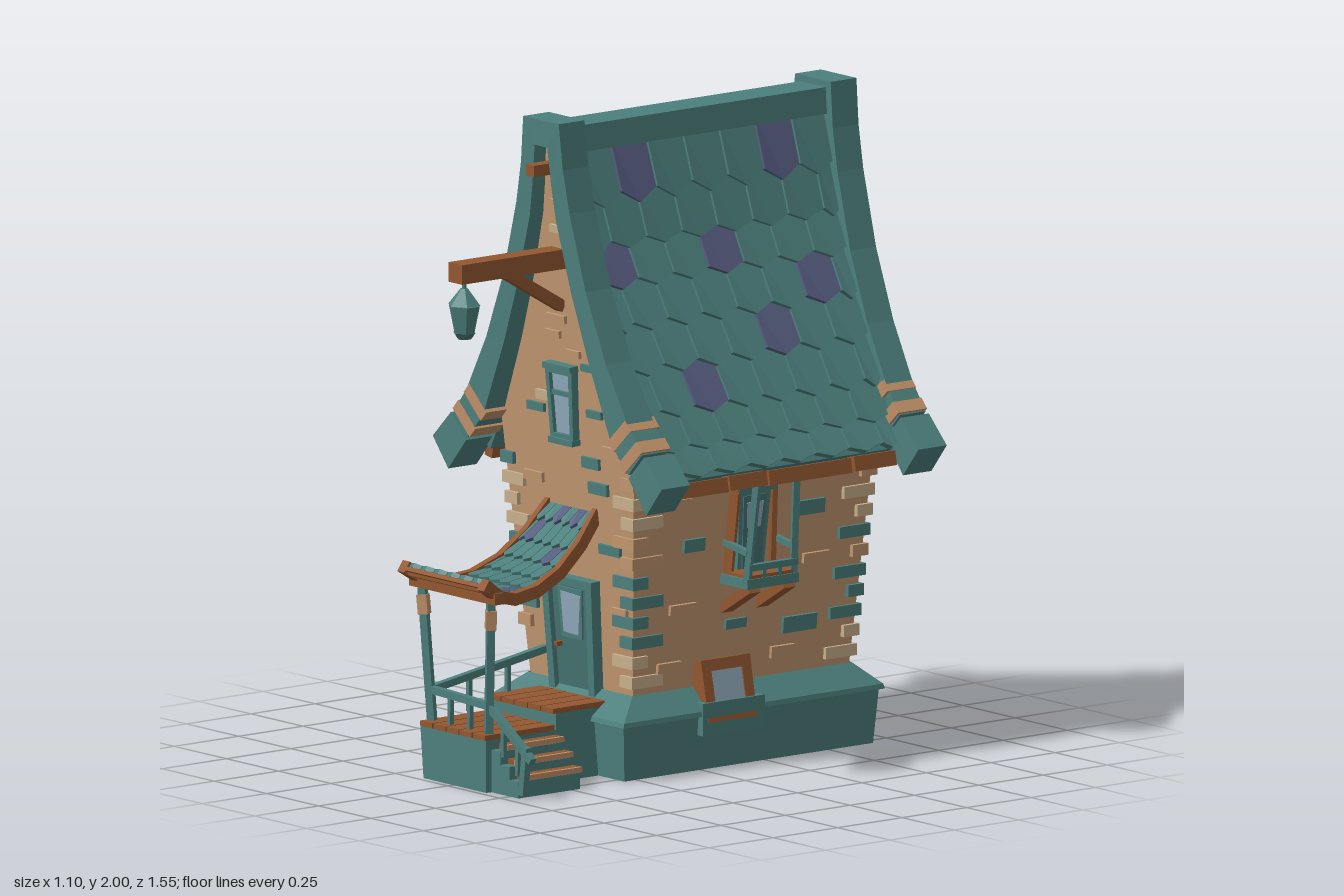
import * as THREE from 'three';

const paint = (name, color) => Object.assign(new THREE.MeshStandardMaterial({ color }), { name });
const V = (x, y, z) => new THREE.Vector3(x, y, z);
const CZ = -0.19; // middle of the house along z

export function createModel() {
  const root = new THREE.Group();
  const teal = paint('teal', 0x4c7f7c), doorTeal = paint('doorTeal', 0x44736f);
  const purple = paint('purple', 0x575d80), tan = paint('tan', 0xc1966f);
  const cream = paint('cream', 0xc8b08c), brown = paint('brown', 0x935730);
  const wood = paint('lightWood', 0xbe8f68), glass = paint('glass', 0x90aabb);
  teal.side = THREE.DoubleSide;

  let seed = 7;
  const rnd = () => (seed = (seed * 16807) % 2147483647) / 2147483647;
  const group = (name, parent = root) => {
    const g = new THREE.Group(); g.name = name; parent.add(g); return g;
  };
  const mesh = (name, geo, mat, parent = root) => {
    const m = new THREE.Mesh(geo, mat); m.name = name; parent.add(m); return m;
  };
  const box = (name, mat, w, h, d, x, y, z, parent = root) => {
    const m = mesh(name, new THREE.BoxGeometry(w, h, d), mat, parent);
    m.position.set(x, y, z); return m;
  };
  // square bar between two points
  const bar = (name, mat, a, b, w, h, parent = root) => {
    const m = mesh(name, new THREE.BoxGeometry(w, h, a.distanceTo(b)), mat, parent);
    m.position.copy(a).lerp(b, 0.5); m.lookAt(b); return m;
  };
  // flat-shaded solid through matching convex rings
  const loft = (rings, caps = true) => {
    const tris = [], n = rings[0].length;
    for (let i = 0; i + 1 < rings.length; i++) for (let j = 0; j < n; j++) {
      const k = (j + 1) % n, [a, b] = [rings[i], rings[i + 1]];
      tris.push([a[j], a[k], b[k]], [a[j], b[k], b[j]]);
    }
    const last = rings[rings.length - 1];
    if (caps) for (let j = 1; j + 1 < n; j++)
      tris.push([rings[0][0], rings[0][j + 1], rings[0][j]], [last[0], last[j], last[j + 1]]);
    const o = rings[0][0];
    const vol = tris.reduce((s, [a, b, c]) => s + a.clone().sub(o).dot(b.clone().sub(o).cross(c.clone().sub(o))), 0);
    const pts = tris.flatMap(([a, b, c]) => (vol < 0 ? [a, c, b] : [a, b, c]));
    const g = new THREE.BufferGeometry().setFromPoints(pts);
    g.computeVertexNormals(); return g;
  };
  const rect = (hx, y, zf, zb) => [V(-hx, y, zf), V(hx, y, zf), V(hx, y, zb), V(-hx, y, zb)];

  // foundation, hollow underneath
  mesh('foundation', loft([rect(0.25, 0.16, 0.25, -0.63), rect(0.25, 0, 0.25, -0.63), rect(0.285, 0, 0.295, -0.67),
    rect(0.3, 0.165, 0.31, -0.68), rect(0.318, 0.17, 0.325, -0.69), rect(0.315, 0.185, 0.32, -0.685),
    rect(0.25, 0.25, 0.235, -0.615)], false), teal);

  // walls flare outward, then close in under the gable
  const gable = [[1.045, 0.318], [1.29, 0.21], [1.485, 0.135], [1.71, 0.068], [1.94, 0.036]];
  const halfX = y => {
    if (y < 1.045) return 0.245 + (y - 0.25) * 0.092;
    const i = Math.max(1, gable.findIndex(g => g[0] >= y)), [a, b] = [gable[i - 1], gable[i]];
    return THREE.MathUtils.mapLinear(y, a[0], b[0], a[1], b[1]);
  };
  const halfZ = y => 0.42 + (y - 0.25) * 0.068;
  mesh('walls', loft([0.14, ...gable.map(g => g[0])].map(y => rect(halfX(y), y, CZ + halfZ(y), CZ - halfZ(y)))), tan);

  // frame lying on a wall: local x along the wall, local z outward
  const turn = { front: 0, back: Math.PI, right: Math.PI / 2, left: -Math.PI / 2 };
  const onWall = (name, face, u, y) => {
    const g = group(name), side = face === 'right' || face === 'left', s = face === 'right' || face === 'front' ? 1 : -1;
    if (side) g.position.set(s * halfX(y), y, u); else g.position.set(u, y, CZ + s * halfZ(y));
    g.rotation.set(side ? 0.092 : 0.068, turn[face], 0, 'YXZ'); return g;
  };
  const trapezoid = (shape, wb, wt, y0, y1) => {
    shape.moveTo(-wb, y0); shape.lineTo(wb, y0); shape.lineTo(wt, y1); shape.lineTo(-wt, y1); shape.closePath(); return shape;
  };
  const opening = (name, face, u, y, w, h) => {
    const g = onWall(name, face, u, y), a = w / 2, b = h / 2;
    const s = trapezoid(new THREE.Shape(), a * 0.84, a, -b, b);
    s.holes.push(trapezoid(new THREE.Path(), a * 0.6, a * 0.72, -b + 0.022, b - 0.022));
    mesh('frame', new THREE.ExtrudeGeometry(s, { depth: 0.04, bevelEnabled: false }), teal, g).position.z = -0.015;
    mesh('pane', new THREE.ShapeGeometry(trapezoid(new THREE.Shape(), a * 0.7, a * 0.78, -b + 0.02, b - 0.02)), glass, g).position.z = 0.012;
    box('crossbar', teal, w * 0.68, 0.015, 0.02, 0, h * 0.14, 0.01, g);
    box('lintel', teal, w * 1.04, 0.018, 0.05, 0, b, 0.008, g);
    box('sill', teal, w * 0.9, 0.018, 0.05, 0, -b, 0.008, g);
  };
  opening('upperFrontWindow', 'front', 0, 1.12, 0.128, 0.23);
  opening('upperBackWindow', 'back', 0, 1.12, 0.128, 0.23);
  opening('lowerBackWindow', 'back', 0, 0.63, 0.14, 0.23);
  for (const z of [-0.36, 0.07]) opening('sideWindow', 'left', z, 0.59, 0.14, 0.23);

  // cellar window with its ledge
  box('cellarLedge', teal, 0.1, 0.1, 0.24, 0.272, 0.16, -0.1);
  const cellar = group('cellarWindow');
  cellar.position.set(0.272, 0.235, -0.095); cellar.rotation.set(-0.2, Math.PI / 2, 0, 'YXZ');
  for (const s of [-1, 1]) {
    box('stile', brown, 0.035, 0.19, 0.07, s * 0.077, 0, 0, cellar);
    box('rail', brown, 0.19, 0.035, 0.07, 0, s * 0.077, 0, cellar);
  }
  box('pane', glass, 0.13, 0.13, 0.04, 0, 0, 0.01, cellar);

  // front door
  const door = onWall('frontDoor', 'front', -0.005, 0.4);
  const panel = (name, mat, wb, wt, y0, y1, depth, z, parent) => {
    const m = mesh(name, new THREE.ExtrudeGeometry(trapezoid(new THREE.Shape(), wb, wt, y0, y1), { depth, bevelEnabled: false }), mat, parent);
    m.position.z = z; return m;
  };
  const frame = trapezoid(new THREE.Shape(), 0.108, 0.12, -0.18, 0.185);
  frame.holes.push(trapezoid(new THREE.Path(), 0.08, 0.09, -0.179, 0.16));
  mesh('doorFrame', new THREE.ExtrudeGeometry(frame, { depth: 0.035, bevelEnabled: false }), teal, door);
  panel('leaf', doorTeal, 0.085, 0.095, -0.18, 0.165, 0.018, 0, door);
  panel('paneFrame', teal, 0.048, 0.06, -0.005, 0.15, 0.006, 0.018, door);
  panel('pane', glass, 0.035, 0.047, 0.01, 0.135, 0.005, 0.022, door).rotation.z = -0.05;
  box('knob', brown, 0.014, 0.014, 0.02, -0.062, -0.03, 0.028, door);

  // bricks: [along, y, width, height, material] on the front and right walls
  const bricks = group('bricks');
  const brick = (face, u, y, w, h, mat) => {
    const g = onWall('brick', face, u, y); bricks.add(g);
    box('brick', mat, w, h, 0.022, 0, 0, 0, g);
  };
  const placed = {
    front: [[0.12, 1.245, 0.06, 0.022, teal], [0.14, 1.105, 0.07, 0.024, teal], [-0.14, 1.09, 0.08, 0.026, teal],
      [0.11, 0.95, 0.08, 0.034, teal], [0.14, 0.875, 0.09, 0.036, teal], [0.18, 0.69, 0.1, 0.03, teal],
      [-0.02, 1.38, 0.09, 0.024, tan], [-0.04, 1.33, 0.07, 0.022, tan], [0.05, 1.28, 0.07, 0.022, tan],
      [-0.1, 1.13, 0.07, 0.03, cream], [0, 1.66, 0.05, 0.024, cream], [0, 1.74, 0.04, 0.022, tan],
      [-0.17, 0.87, 0.09, 0.03, tan], [0.21, 1.0, 0.08, 0.026, tan], [-0.2, 0.62, 0.07, 0.03, tan], [0.21, 0.5, 0.07, 0.03, tan]],
    right: [[-0.42, 0.76, 0.1, 0.045, teal], [0.03, 0.695, 0.08, 0.04, teal], [-0.15, 0.43, 0.08, 0.03, teal],
      [-0.4, 0.4, 0.13, 0.05, teal], [-0.34, 0.32, 0.09, 0.036, tan], [0.1, 0.32, 0.09, 0.036, tan],
      [0.06, 0.5, 0.1, 0.03, tan], [-0.45, 0.6, 0.1, 0.03, tan], [0.1, 0.83, 0.1, 0.03, tan]] };
  for (const face in placed) for (const b of placed[face]) brick(face, ...b);
  // scattered bricks on the other walls, kept off the windows
  const keepOut = { back: [[0, 1.12], [0, 0.63]], left: [[-0.36, 0.59], [0.07, 0.59]] };
  for (const face in keepOut) for (let row = 0; row < (face === 'left' ? 9 : 20); row++) for (let i = 0; i < 2; i++) {
    const y = 0.31 + row * 0.069, w = 0.06 + rnd() * 0.05, h = 0.022 + rnd() * 0.024, pick = rnd();
    const span = (face === 'left' ? halfZ(y) - 0.1 : halfX(y) - 0.02) - w / 2;
    const u = (face === 'left' ? CZ : 0) + (rnd() * 2 - 1) * span;
    if (span > 0 && !keepOut[face].some(k => Math.abs(u - k[0]) < 0.12 && Math.abs(y - k[1]) < 0.15))
      brick(face, u, y, w, h, pick < 0.45 ? teal : pick < 0.85 ? tan : cream);
  }
  // corner stones, paler near the top and foot of the wall
  for (const sx of [-1, 1]) for (const sz of [-1, 1]) for (let i = 0; i < 11; i++) {
    const y = 0.29 + i * 0.062, long = i % 2, pale = i < 2 || (i > 6 && i < 10);
    if (rnd() < 0.2) continue;
    box('cornerStone', rnd() < 0.25 ? tan : pale ? cream : teal, long ? 0.1 : 0.06, 0.036, long ? 0.06 : 0.12,
      sx * (halfX(y) - (long ? 0.035 : 0.017)), y, CZ + sz * (halfZ(y) - (long ? 0.017 : 0.046)), bricks);
  }

  // point on a 2D profile, raised h along its normal
  const raise = (curve, t, h) => {
    const n = curve.points.length - 1, p = curve.getPoint(t / n), d = curve.getTangent(t / n);
    return [p.x - d.y * h, p.y + d.x * h];
  };
  const spline = pts => new THREE.SplineCurve(pts.map(p => new THREE.Vector2(...p)));
  // pointed shingles in staggered rows; surf(u, t, h) maps to space
  const shingles = (parent, surf, rows, cols, lift, purples) => {
    for (let r = 0; r < rows; r++) for (let k = 0; k < cols + (r % 2); k++) {
      const u0 = (k - (r % 2) / 2) / cols, gap = 0.025 / cols;
      const a = Math.max(0, u0 + gap), b = Math.min(1, u0 + 1 / cols - gap), m = (a + b) / 2;
      const out = [[a, r - 0.3], [b, r - 0.3], [b, r + 0.82], [m, r + 1.04], [a, r + 0.82]];
      const skin = e => out.map(([u, t], i) => surf(u, Math.max(t, 0), (i > 1 ? lift : lift * 0.1) + e));
      mesh('shingle', loft([skin(-lift), skin(0)]), purples.includes(r * 10 + k) ? purple : teal, parent);
    }
  };

  // main roof
  const slope = spline([[0.045, 1.92], [0.086, 1.73], [0.12, 1.6], [0.165, 1.485], [0.22, 1.36], [0.28, 1.235],
    [0.342, 1.11], [0.391, 1.01], [0.434, 0.935], [0.478, 0.86]]);
  const marks = { 1: [1, 5, 20, 23, 36, 44, 52], '-1': [66, 45, 54, 14, 33, 22, 61, 40, 20, 10] };
  for (const s of [1, -1]) {
    const g = group(s > 0 ? 'leftRoof' : 'rightRoof');
    const surf = (u, t, h) => {
      const [x, y] = raise(slope, t, h); return V(s * x, y, CZ + (0.49 - t * 0.005) * (1 - 2 * u));
    };
    shingles(g, surf, 8, 7, 0.022, marks[s]);
    const deck = [];
    for (let t = 0; t <= 8; t++) deck.push([surf(0, t, -0.008), surf(1, t, -0.008), surf(1, t, -0.04), surf(0, t, -0.04)]);
    mesh('roofDeck', loft(deck), teal, g);
    for (const [z, l, x] of [[0.14, 0.2, 0.45], [-0.05, 0.15, 0.44], [-0.28, 0.32, 0.45], [-0.54, 0.16, 0.44]])
      box('eaveBoard', brown, 0.035, 0.045, l, s > 0 ? x : 0.02 - x, 0.905, z, g).rotation.z = s * 0.2;
  }
  mesh('ridgeCap', loft([0.5, -0.5].map(z => [[-0.07, 1.9], [0.07, 1.9], [0.06, 1.98], [-0.06, 1.98]]
    .map(([x, y]) => V(x, y, CZ + z)))), teal);

  // curved verge boards with wrapped, flared ends
  const verge = [[0.085, 2, 0.03, 1.92], [0.1, 1.86, 0.045, 1.8], [0.127, 1.73, 0.062, 1.7], [0.196, 1.5, 0.127, 1.485],
    [0.286, 1.29, 0.2, 1.29], [0.385, 1.115, 0.307, 1.045], [0.45, 1.035, 0.385, 0.965]];
  const path = [...verge.map(([a, b, c, d]) => [-a, b, -c, d]).reverse(), ...verge];
  for (const s of [1, -1]) {
    const g = group(s > 0 ? 'frontVerge' : 'backVerge');
    const zo = y => CZ + s * (0.547 + (y - 0.9) * 0.028), zi = y => zo(y) - s * 0.1;
    const ring = ([a, b, c, d]) => [V(a, b, zo(b)), V(c, d, zo(b)), V(c, d, zi(b)), V(a, b, zi(b))];
    mesh('vergeBoard', loft(path.map(ring)), teal, g);
    for (const m of [1, -1]) {
      const z = CZ + s * 0.498;
      for (const [x, y] of [[0.345, 1.078], [0.398, 1.02]])
        box('wrapping', wood, 0.04, 0.112, 0.112, m * x, y, z, g).rotation.z = -m * 0.82;
      const end = [[0.462, 1.03], [0.548, 0.945], [0.474, 0.855], [0.388, 0.955]];
      mesh('vergeEnd', loft([0.055, -0.055].map(e => end.map(([x, y]) => V(m * x, y, z + e)))), teal, g);
    }
  }

  // lamp beam and lantern
  box('lampBeam', brown, 0.066, 0.06, 0.44, 0, 1.57, 0.5);
  bar('lampBrace', brown, V(0, 1.55, 0.53), V(0, 1.42, 0.31), 0.035, 0.035);
  box('gableBlock', brown, 0.04, 0.035, 0.13, 0, 1.85, 0.365);
  const lantern = group('lantern'); lantern.position.set(0, 0, 0.685);
  const drum = (name, mat, rt, rb, h, y) => {
    const geo = new THREE.CylinderGeometry(rt, rb, h, 6).toNonIndexed(); geo.computeVertexNormals();
    mesh(name, geo, mat, lantern).position.y = y;
  };
  drum('hanger', teal, 0.007, 0.007, 0.05, 1.53);
  drum('cap', teal, 0.012, 0.052, 0.05, 1.495);
  drum('body', teal, 0.05, 0.032, 0.085, 1.425);
  drum('foot', doorTeal, 0.036, 0.022, 0.02, 1.375);

  // porch base, planks and side steps
  const porch = group('porch');
  box('upperLanding', teal, 0.31, 0.21, 0.22, 0.005, 0.105, 0.35, porch);
  mesh('lowerLanding', loft([[0, 0.14], [0.16, 0.155]].map(([y, x]) =>
    [V(-x, y, 0.46), V(-x, y, 0.73), V(0.16, y, 0.73), V(0.16, y, 0.46)])), teal, porch);
  for (let i = 0; i < 5; i++) {
    box('plank', brown, 0.058, 0.016, 0.23, -0.121 + i * 0.063, 0.218, 0.355, porch);
    box('plank', brown, 0.058, 0.016, 0.27, -0.121 + i * 0.063, 0.168, 0.6, porch);
  }
  for (let i = 0; i < 3; i++) {
    const x = 0.18 + i * 0.043, y = 0.13 - i * 0.04;
    box('stepBase', teal, 0.046, y, 0.24, x, y / 2, 0.59, porch);
    box('tread', brown, 0.03, 0.016, 0.22, x - 0.007, y + 0.008, 0.57, porch);
    box('treadEdge', wood, 0.012, 0.016, 0.22, x + 0.015, y + 0.008, 0.57, porch);
  }
  // posts and railings
  for (const s of [-1, 1]) {
    bar('post', teal, V(s * 0.135, 0.17, 0.7), V(s * 0.165, 0.6, 0.715), 0.024, 0.024, porch);
    bar('postCollar', wood, V(s * 0.158, 0.5, 0.711), V(s * 0.163, 0.56, 0.714), 0.032, 0.032, porch);
  }
  const railing = (a, b, n, drop) => {
    bar('handrail', teal, a, b, 0.022, 0.022, porch);
    for (let i = 1; i <= n; i++) {
      const p = a.clone().lerp(b, i / (n + 1)); bar('baluster', teal, p, V(p.x, p.y - drop, p.z + 0.001), 0.014, 0.014, porch);
    }
  };
  railing(V(-0.14, 0.27, 0.7), V(-0.145, 0.34, 0.25), 2, 0.11);
  railing(V(-0.14, 0.27, 0.7), V(0.14, 0.26, 0.7), 2, 0.1);
  railing(V(0.14, 0.26, 0.7), V(0.345, 0.12, 0.7), 2, 0.1);
  bar('newel', teal, V(0.3, 0.01, 0.7), V(0.318, 0.16, 0.7), 0.022, 0.022, porch);

  // swooping porch roof
  const swoop = spline([[0.26, 0.8], [0.34, 0.71], [0.43, 0.64], [0.53, 0.598], [0.63, 0.587], [0.7, 0.605], [0.765, 0.65]]);
  const canopy = (u, t, h) => {
    const [z, y] = raise(swoop, t, h); return V((0.11 + t * 0.0125) * (2 * u - 1), y, z);
  };
  const cover = group('porchRoof');
  shingles(cover, (u, t, h) => canopy(u, t * 0.66, h), 9, 6, 0.016, [2, 4, 11, 24, 55]);
  const strip = (u0, u1, h0, h1) => loft([0, 1, 2, 3, 4, 5, 6].map(t =>
    [canopy(u0, t, h0), canopy(u1, t, h0), canopy(u1, t, h1), canopy(u0, t, h1)]));
  mesh('underside', strip(0, 1, -0.014, -0.002), brown, cover);
  mesh('sideBeam', strip(-0.06, 0.03, -0.022, 0.016), brown, cover);
  mesh('sideBeam', strip(0.97, 1.06, -0.022, 0.016), brown, cover);
  box('frontBeam', brown, 0.41, 0.035, 0.035, 0, 0.6, 0.715, cover);
  box('frontEdge', brown, 0.39, 0.025, 0.02, 0, 0.635, 0.755, cover);

  // side balcony
  const balcony = group('balcony'), bz = -0.185;
  const entry = onWall('balconyDoor', 'right', bz, 0.72);
  panel('frame', teal, 0.05, 0.062, -0.13, 0.13, 0.02, 0, entry);
  panel('leaf', doorTeal, 0.035, 0.046, -0.13, 0.11, 0.006, 0.018, entry);
  panel('pane', glass, 0.024, 0.032, 0.01, 0.09, 0.006, 0.02, entry);
  box('lintel', teal, 0.15, 0.022, 0.05, 0, 0.135, 0.01, entry);
  box('platform', teal, 0.14, 0.03, 0.2, 0.335, 0.575, bz, balcony);
  box('platformEdge', brown, 0.13, 0.012, 0.18, 0.335, 0.594, bz, balcony);
  box('frontRail', teal, 0.02, 0.02, 0.19, 0.4, 0.625, bz, balcony);
  for (const s of [-1, 1]) {
    const z = bz + s * 0.09;
    bar('post', teal, V(0.39, 0.57, z), V(0.425, 0.91, bz + s * 0.075), 0.02, 0.02, balcony);
    bar('sideRail', teal, V(0.27, 0.69, z), V(0.4, 0.67, z), 0.018, 0.018, balcony);
    bar('bracket', brown, V(0.26, 0.48, bz + s * 0.068), V(0.395, 0.56, bz + s * 0.068), 0.045, 0.03, balcony);
    bar('doorPost', brown, V(0.295, 0.6, bz + s * 0.085), V(0.318, 0.86, bz + s * 0.075), 0.016, 0.03, balcony);
    box('baluster', teal, 0.012, 0.05, 0.012, 0.396, 0.605, bz + s * 0.03, balcony);
  }
  return root;
}
